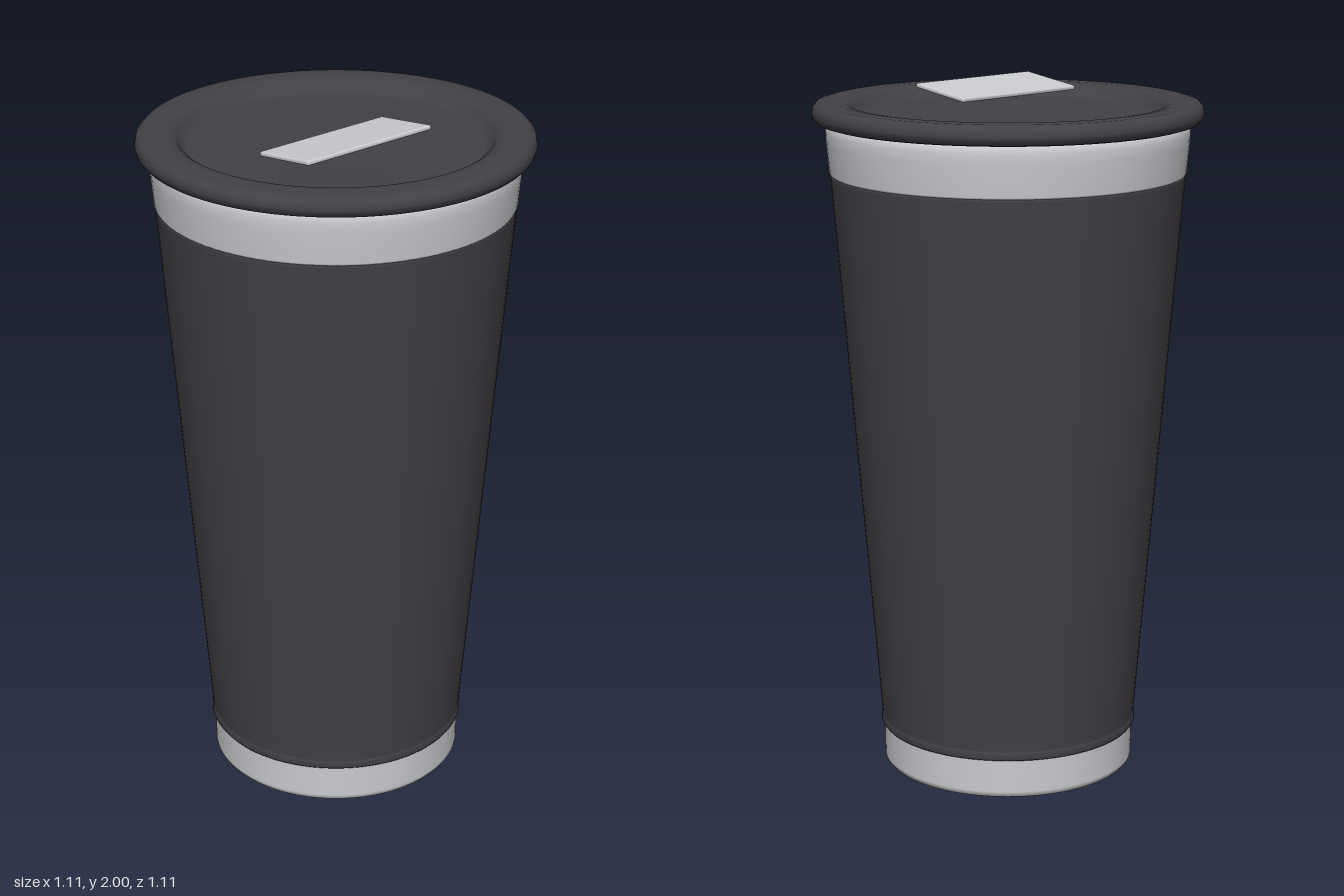
import * as THREE from 'three';
import { RoundedBoxGeometry } from 'three/addons/geometries/RoundedBoxGeometry.js';

export function createModel() {
  const group = new THREE.Group();
  const material = (name, color) => {
    const m = new THREE.MeshStandardMaterial({ color });
    m.name = name;
    return m;
  };
  const charcoal = material('charcoal', 0x424146);
  const steel = material('steel', 0xcbccd0);

  // Turned part from a profile of [radius, height], running bottom to top
  const turned = (name, mat, profile) => {
    const points = profile.map(([r, y]) => new THREE.Vector2(r, y));
    const mesh = new THREE.Mesh(new THREE.LatheGeometry(points, 96), mat);
    mesh.name = name;
    group.add(mesh);
  };

  // Metal foot with a flat underside
  turned('base', steel, [
    [0, 0.004], [0.345, 0.004], [0.352, 0], [0.36, 0.003], [0.367, 0.012],
    [0.368, 0.02], [0.369, 0.125],
  ]);

  // Tapered sleeve with a thin raised lip at its lower edge
  turned('sleeve', charcoal, [
    [0.36, 0.118], [0.374, 0.118], [0.377, 0.122], [0.377, 0.137], [0.375, 0.141],
    [0.374, 0.145], [0.376, 0.16], [0.504, 1.75], [0.505, 1.76], [0.49, 1.761],
  ]);

  // Exposed metal collar below the lid
  turned('collar', steel, [
    [0.49, 1.757], [0.505, 1.758], [0.507, 1.763], [0.515, 1.85], [0.516, 1.88],
    [0.512, 1.896], [0.504, 1.905], [0.48, 1.908],
  ]);

  // Lid with a rounded rim and a shallow recess
  turned('lid', charcoal, [
    [0, 1.903], [0.53, 1.903], [0.543, 1.907], [0.552, 1.918], [0.555, 1.93],
    [0.551, 1.946], [0.541, 1.956], [0.525, 1.96], [0.48, 1.96], [0.455, 1.956],
    [0.438, 1.945], [0.427, 1.927], [0.41, 1.92], [0, 1.915],
  ]);

  // Sipping tab, turned on the lid and raised toward the front
  const tab = new THREE.Mesh(new RoundedBoxGeometry(0.443, 0.014, 0.202, 3, 0.006), steel);
  tab.name = 'sipTab';
  tab.rotation.set(-0.13, THREE.MathUtils.degToRad(13.7), 0, 'YXZ');
  tab.position.set(-0.048, 1.98, 0.151);
  group.add(tab);

  return group;
}
